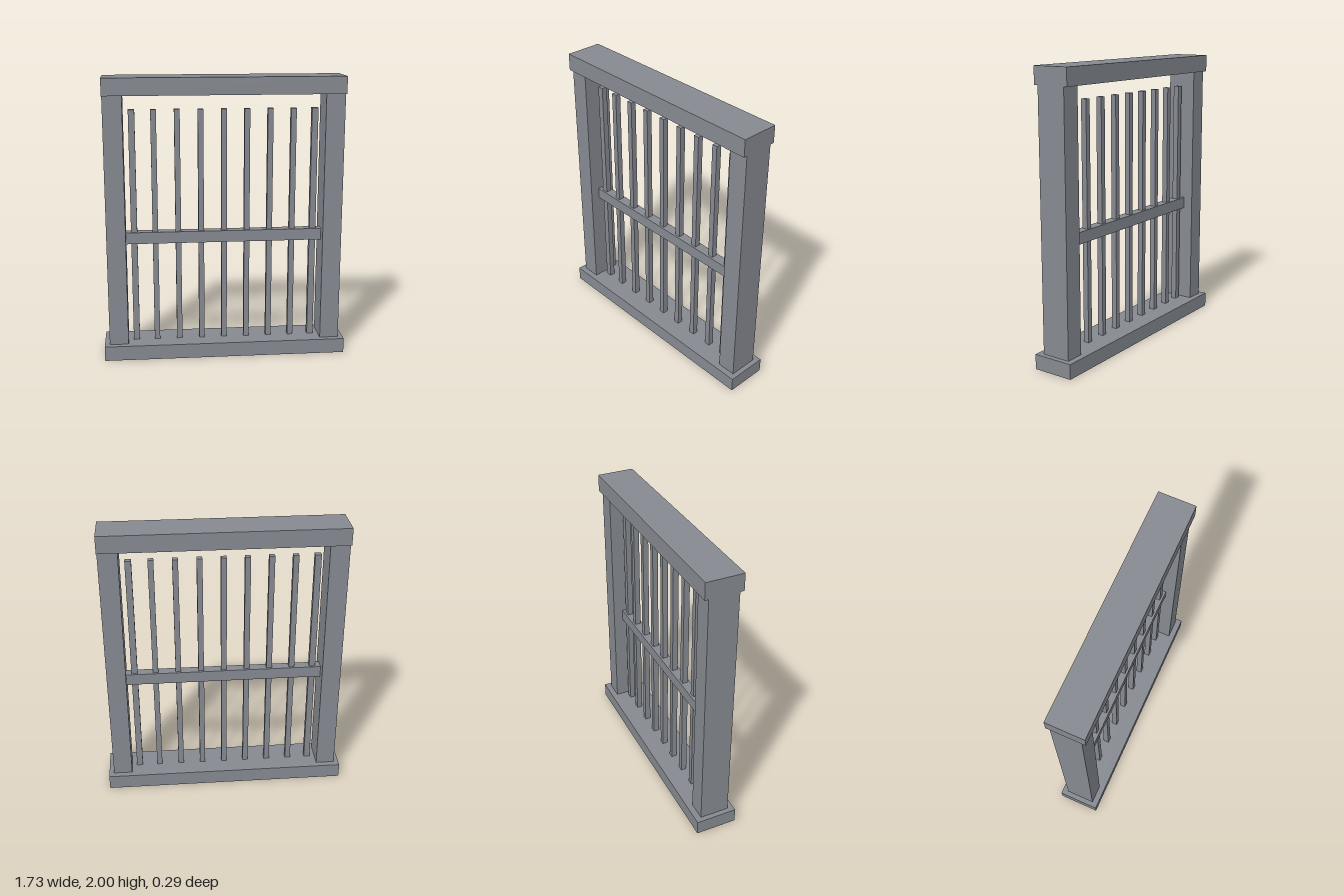
import * as THREE from 'three';

export function createModel() {
  const model = new THREE.Group();
  const greyMetal = new THREE.MeshStandardMaterial({ color: 0x868a91 });
  greyMetal.name = 'greyMetal';

  // Box spanning y0..y1, centred on z = 0
  function block(name, width, depth, y0, y1, x = 0) {
    const mesh = new THREE.Mesh(new THREE.BoxGeometry(width, y1 - y0, depth), greyMetal);
    mesh.name = name;
    mesh.position.set(x, (y0 + y1) / 2, 0);
    model.add(mesh);
  }

  // Frame: sill, lintel and the two posts between them
  block('sill', 1.73, 0.294, 0, 0.105);
  block('lintel', 1.664, 0.262, 1.88, 2);
  for (const side of [-1, 1]) {
    block(side > 0 ? 'leftPost' : 'rightPost', 0.134, 0.208, 0.105, 1.88, side * 0.763);
  }

  // Cross rail between the posts
  block('crossRail', 1.394, 0.07, 0.83, 0.912);

  // Upright bars; the outermost pair is slightly wider and set inwards
  for (let i = -4; i <= 4; i++) {
    const outer = Math.abs(i) === 4;
    const x = outer ? Math.sign(i) * 0.637 : i * 0.1625;
    block('bar' + (i + 5), outer ? 0.044 : 0.039, 0.04, 0.105, 1.775, x);
  }

  return model;
}
